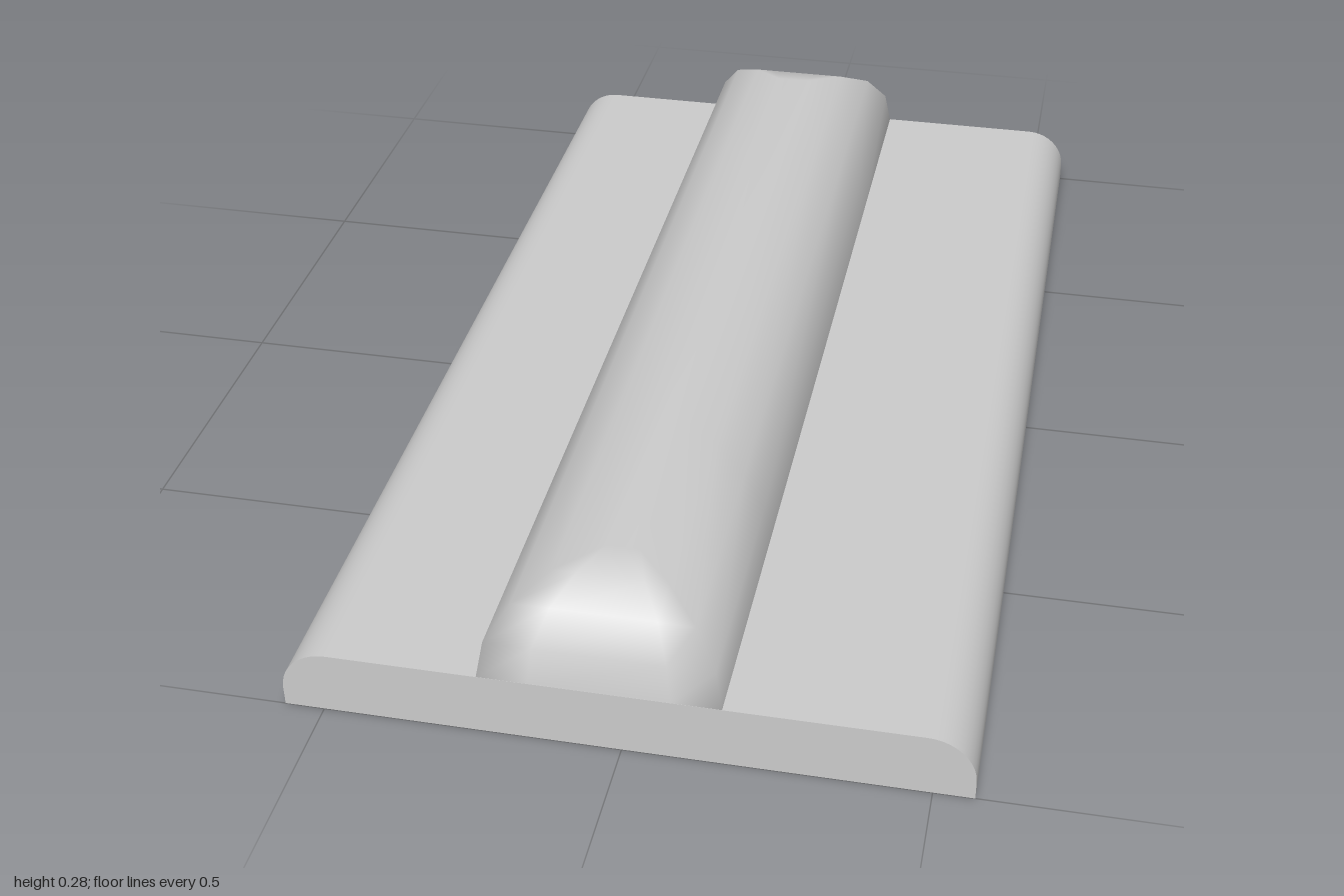
import * as THREE from 'three';
import { toCreasedNormals } from 'three/addons/utils/BufferGeometryUtils.js';

const material = new THREE.MeshStandardMaterial({ color: 0xcccccc });

// Flat plate with rounded upper long edges, run along z
function makeBase() {
  const w = 0.567, h = 0.115, r = 0.08;
  const shape = new THREE.Shape();
  shape.moveTo(-w, 0);
  shape.lineTo(w, 0);
  shape.lineTo(w, h - r);
  shape.absarc(w - r, h - r, r, 0, Math.PI / 2, false);
  shape.absarc(r - w, h - r, r, Math.PI / 2, Math.PI, false);
  shape.closePath();
  const geometry = new THREE.ExtrudeGeometry(shape, { depth: 2, bevelEnabled: false, curveSegments: 5 });
  geometry.translate(0, 0, -1);
  const mesh = new THREE.Mesh(toCreasedNormals(geometry, 0.6), material);
  mesh.name = 'basePlate';
  return mesh;
}

// Raised bar: rectangular rings stepping inward as they rise, smoothly shaded
function makeRidge() {
  const halfX = 0.2, halfZ = 1, f = 0.58;
  const levels = [[0, 0.113], [0.012, 0.18], [0.05, 0.234], [0.105, 0.267], [0.165, 0.28]]; // inset, height
  // counter-clockwise seen from above, starting at the front left corner
  const ring = [
    [-1, 1], [-f, 1], [f, 1], [1, 1], [1, f], [1, -f],
    [1, -1], [f, -1], [-f, -1], [-1, -1], [-1, -f], [-1, f],
  ];
  const n = ring.length, positions = [], index = [];
  for (const [inset, y] of levels) {
    for (const [u, v] of ring) positions.push(u * (halfX - inset), y, v * (halfZ - inset));
  }
  for (let l = 0; l < levels.length - 1; l++) {
    for (let i = 0; i < n; i++) {
      const a = l * n + i, b = l * n + (i + 1) % n;
      index.push(a, b, b + n, a, b + n, a + n);
    }
  }
  // narrow flat top
  const top = (levels.length - 1) * n;
  positions.push(0, levels[levels.length - 1][1], 0);
  for (let i = 0; i < n; i++) index.push(top + i, top + (i + 1) % n, top + n);

  const geometry = new THREE.BufferGeometry();
  geometry.setAttribute('position', new THREE.Float32BufferAttribute(positions, 3));
  geometry.setIndex(index);
  geometry.computeVertexNormals();
  const mesh = new THREE.Mesh(geometry, material);
  mesh.name = 'raisedBar';
  mesh.position.x = -0.035;
  return mesh;
}

export function createModel() {
  const model = new THREE.Group();
  model.name = 'plateWithBar';
  model.add(makeBase(), makeRidge());
  return model;
}
